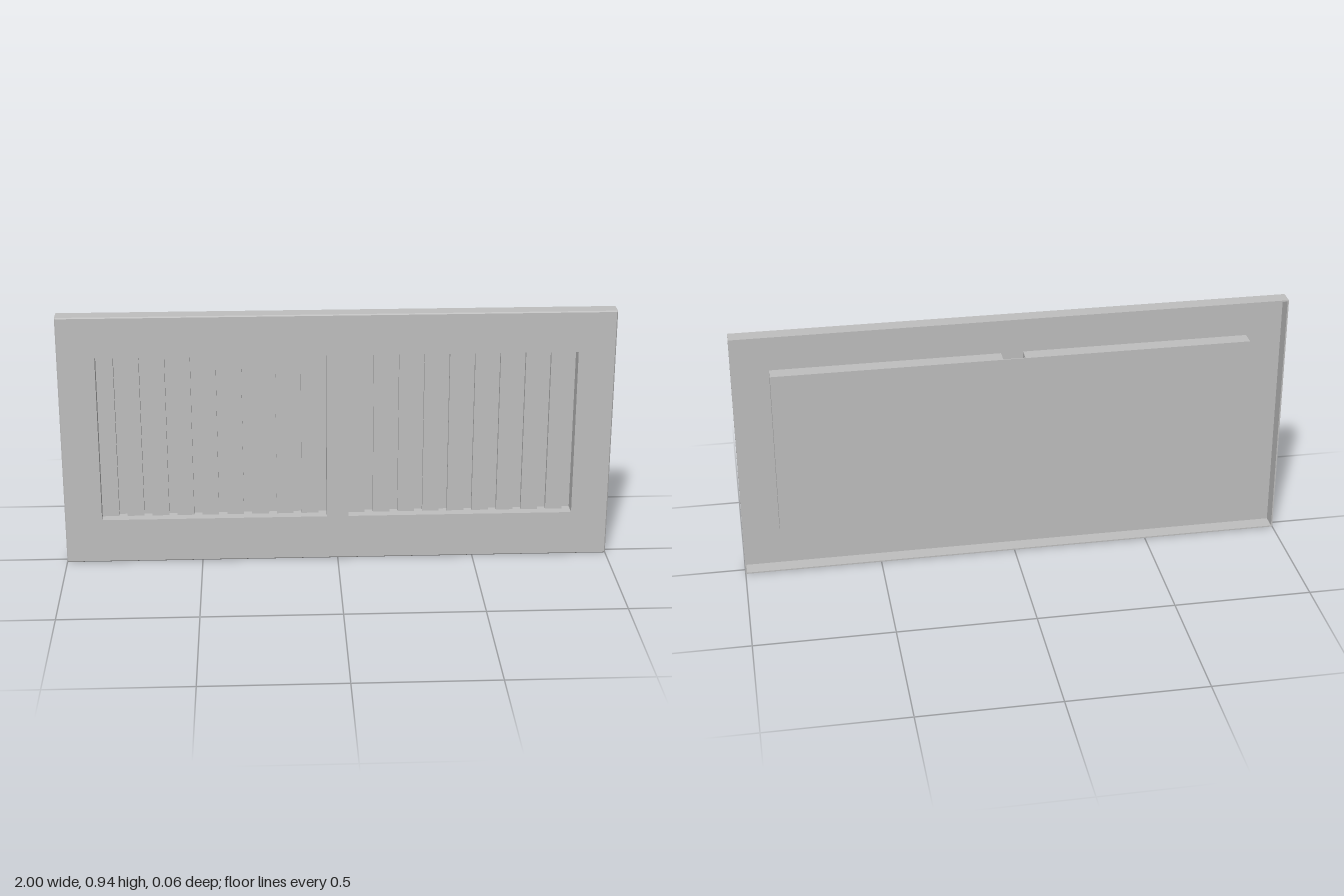
import * as THREE from 'three';

const W = 2, H = 0.945, FRONT = 0.03, BACK = -0.03;
const WALL = 0.005, BEVEL = 0.004;
// the two openings as [x0, x1, y0, y1]
const OPENINGS = [[-0.865, -0.04, 0.168, 0.793], [0.04, 0.865, 0.168, 0.793]];
const SLATS = 9;

const corners = ([x0, x1, y0, y1], inset = 0) => [
  [x0 + inset, y0 + inset], [x1 - inset, y0 + inset],
  [x1 - inset, y1 - inset], [x0 + inset, y1 - inset],
];

// Joins a chain of rectangular rings, each given as [inset, z], with flat faces
function ringLoft(rect, rings) {
  const pos = [];
  for (let r = 0; r < rings.length - 1; r++) {
    const lo = corners(rect, rings[r][0]).map(p => [...p, rings[r][1]]);
    const hi = corners(rect, rings[r + 1][0]).map(p => [...p, rings[r + 1][1]]);
    for (let i = 0; i < 4; i++) {
      const j = (i + 1) % 4;
      pos.push(...lo[i], ...lo[j], ...hi[j], ...lo[i], ...hi[j], ...hi[i]);
    }
  }
  const g = new THREE.BufferGeometry();
  g.setAttribute('position', new THREE.Float32BufferAttribute(pos, 3));
  g.computeVertexNormals();
  return g;
}

// Flat sheet with both openings cut out
function piercedSheet(inset) {
  const toPoints = list => list.map(p => new THREE.Vector2(...p));
  const shape = new THREE.Shape(toPoints(corners([-W / 2, W / 2, 0, H], inset)));
  for (const o of OPENINGS) shape.holes.push(new THREE.Path(toPoints(corners(o).reverse())));
  return new THREE.ShapeGeometry(shape);
}

export function createModel() {
  const group = new THREE.Group();
  const metal = new THREE.MeshStandardMaterial({ color: 0xbfbfbf, side: THREE.DoubleSide });
  metal.name = 'grey metal';

  const add = (name, geometry, x = 0, y = 0, z = 0, parent = group) => {
    const mesh = new THREE.Mesh(geometry, metal);
    mesh.name = name;
    mesh.position.set(x, y, z);
    parent.add(mesh);
    return mesh;
  };

  // Hollow rim with a softened front edge
  add('rim', ringLoft([-W / 2, W / 2, 0, H], [
    [WALL, FRONT - WALL], [WALL, BACK], [0, BACK], [0, FRONT - BEVEL], [BEVEL, FRONT],
  ]));

  // Front plate: outer face and the inside face seen from behind
  add('frontPlate', piercedSheet(BEVEL), 0, 0, FRONT);
  add('frontPlateInside', piercedSheet(WALL).rotateY(Math.PI), 0, 0, FRONT - WALL);

  // Flanges running back from each opening, with upright slats inside
  for (const o of OPENINGS) {
    const [x0, x1, y0, y1] = o;
    const bay = new THREE.Group();
    bay.name = x0 < 0 ? 'rightBay' : 'leftBay';
    group.add(bay);
    add('openingFlange', ringLoft(o, [[0, BACK], [0, FRONT]]), 0, 0, 0, bay);

    const pitch = (x1 - x0) / (SLATS - 1 / 3 + 1 / 3);
    const width = pitch * 0.67, depth = 0.019;
    const slat = new THREE.BoxGeometry(width, y1 - y0, depth);
    for (let i = 0; i < SLATS; i++) {
      add('slat', slat, x0 + i * pitch + width / 2, (y0 + y1) / 2, -0.006 - depth / 2, bay);
    }
  }

  // Back sheet closing both bays and bridging the gap between them
  const [, x1, y0, y1] = OPENINGS[1];
  add('backSheet', new THREE.BoxGeometry(2 * x1, y1 - y0, 0.004), 0, (y0 + y1) / 2, BACK + 0.002);

  return group;
}
